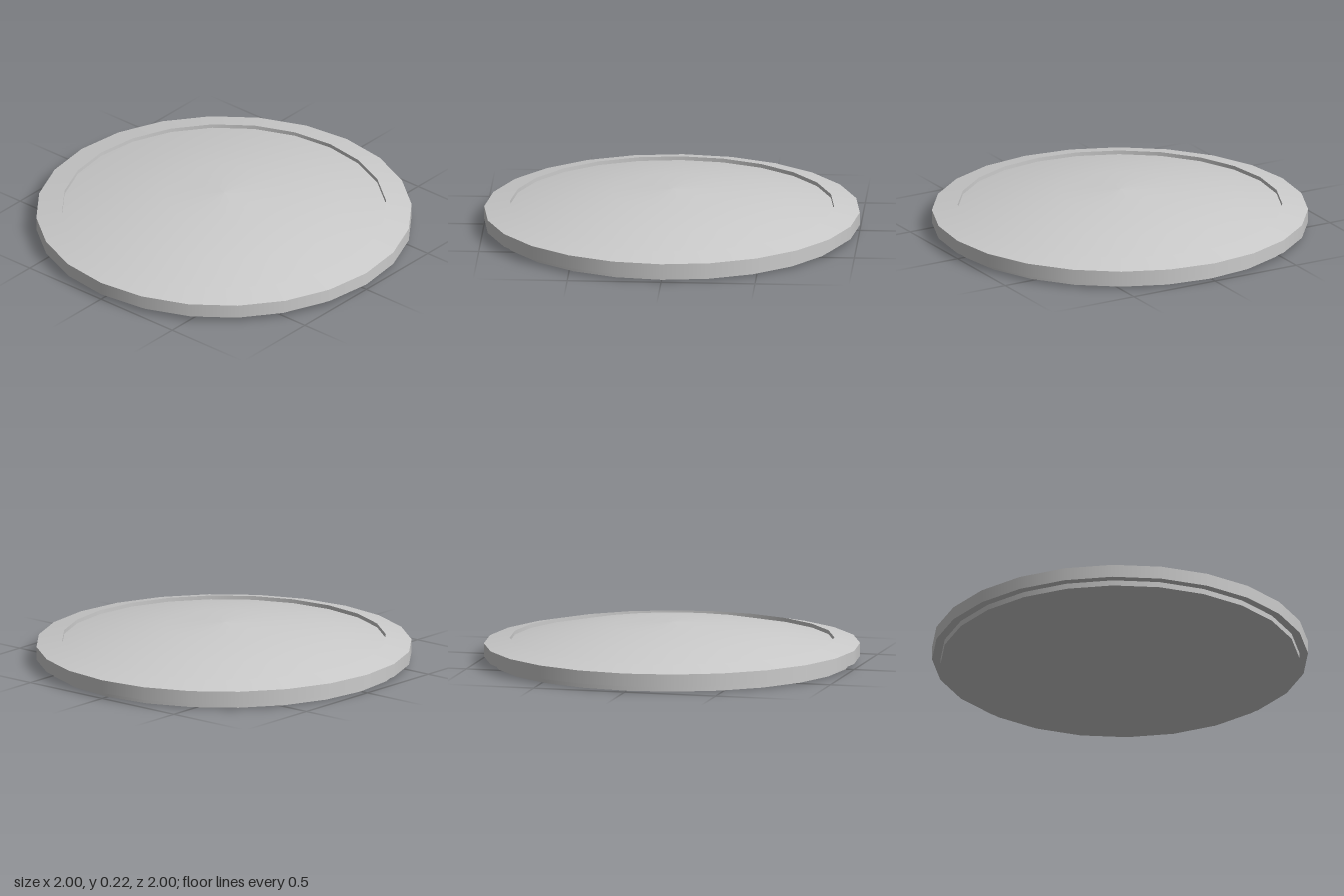
import * as THREE from 'three';

const SIDES = 24;
const DOME_RADIUS = 0.863;
const domeHeight = (r) => 0.215 - 0.142 * r * r;

export function createModel() {
  const model = new THREE.Group();
  const material = new THREE.MeshStandardMaterial({ color: 0xcccccc });

  // One smooth band turned around the y axis; separate bands keep sharp edges between them
  const turn = (profile) =>
    new THREE.LatheGeometry(profile.map(([r, y]) => new THREE.Vector2(r, y)), SIDES);

  // Part made of straight bands, running from the bottom centre outwards and up
  const addPart = (name, profile) => {
    const part = new THREE.Group();
    part.name = name;
    for (let i = 1; i < profile.length; i++) {
      const band = new THREE.Mesh(turn([profile[i - 1], profile[i]]), material);
      band.name = `${name}Band${i}`;
      part.add(band);
    }
    model.add(part);
  };

  // Recessed foot under the lid
  addPart('base', [[0, 0], [0.955, 0], [0.955, 0.03]]);

  // Rim: flat underside, upright edge, sloped top and the small step down to the dome
  addPart('rim', [
    [0.955, 0.03], [1, 0.03], [1, 0.1],
    [DOME_RADIUS, 0.13], [DOME_RADIUS, domeHeight(DOME_RADIUS)],
  ]);

  // Shallow smooth dome
  const domeProfile = [DOME_RADIUS, 0.62, 0.32, 0].map((r) => [r, domeHeight(r)]);
  const dome = new THREE.Mesh(turn(domeProfile), material);
  dome.name = 'dome';
  model.add(dome);

  return model;
}
